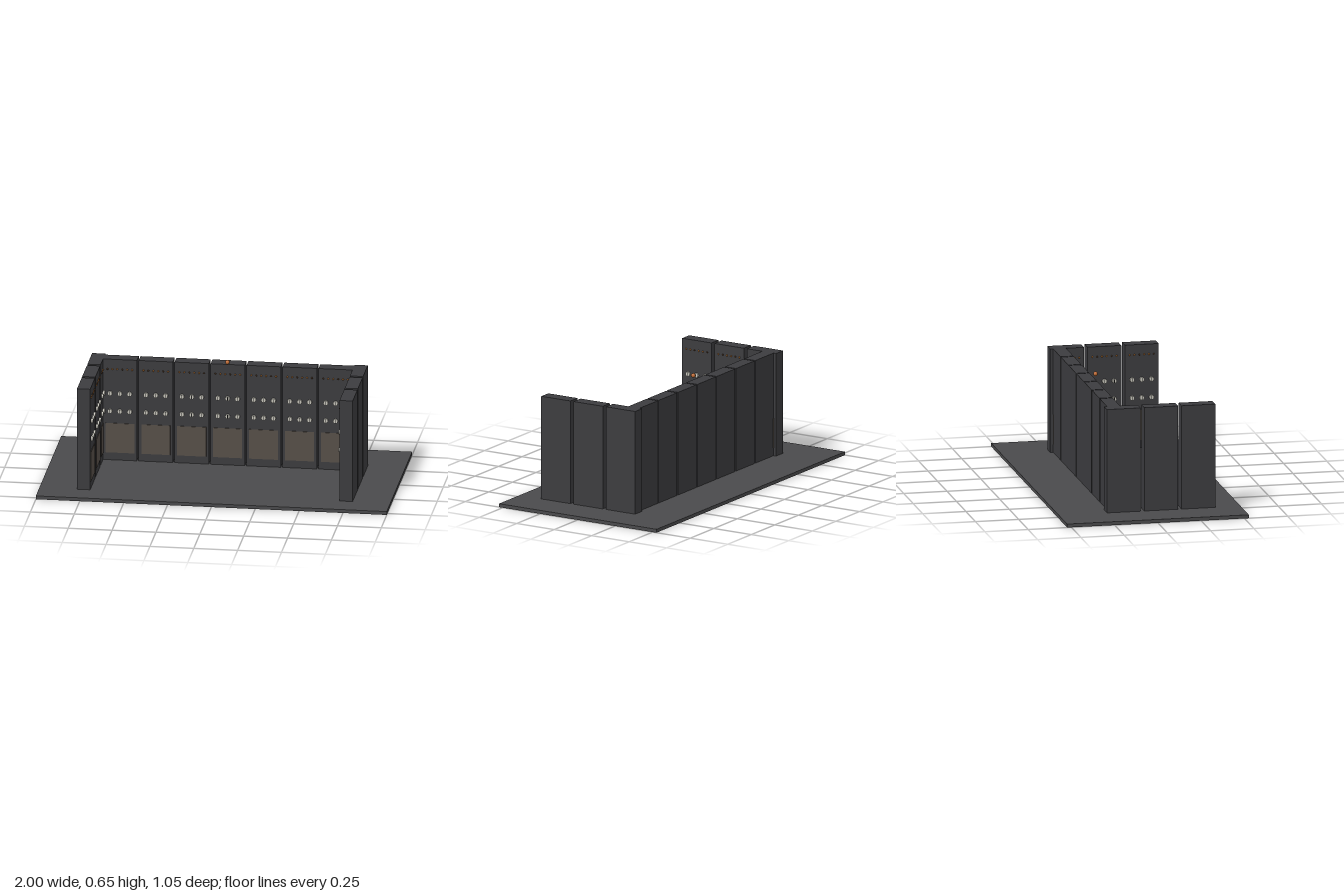
import * as THREE from 'three';

const paint = (color) => new THREE.MeshStandardMaterial({ color });
const W = 0.195, D = 0.075, TOP = 0.62, FLOOR = 0.02;

const mats = {
  floor: paint(0x4a4a4c), cabinet: paint(0x3c3c3f), panel: paint(0x575049),
  dial: paint(0xc8c6bc), needle: paint(0x222222),
  amber: paint(0xb87028), unlit: paint(0x4a3018), beacon: paint(0xc06a30),
};

const geos = {
  body: new THREE.BoxGeometry(W, TOP - FLOOR + 0.01, D),
  panel: new THREE.BoxGeometry(0.165, 0.175, 0.004),
  dial: new THREE.CylinderGeometry(0.0135, 0.0135, 0.012, 16).rotateX(Math.PI / 2),
  needle: new THREE.BoxGeometry(0.003, 0.02, 0.002),
  lamp: new THREE.SphereGeometry(0.005, 8, 6),
};

function add(parent, name, geo, mat, x, y, z) {
  const m = new THREE.Mesh(geo, mat);
  m.name = name;
  m.position.set(x, y, z);
  parent.add(m);
  return m;
}

// One instrument cabinet, its face towards +z
function cabinet(name, seed) {
  const g = new THREE.Group();
  g.name = name;
  const face = D / 2;
  add(g, 'cabinetBody', geos.body, mats.cabinet, 0, (TOP + FLOOR - 0.01) / 2, 0);
  add(g, 'lowerPanel', geos.panel, mats.panel, 0, 0.152, face + 0.001);
  // Two rows of three dials
  for (const y of [0.312, 0.418]) {
    for (let i = -1; i <= 1; i++) {
      add(g, 'dial', geos.dial, mats.dial, i * 0.056, y, face + 0.005);
      add(g, 'needle', geos.needle, mats.needle, i * 0.056, y, face + 0.0115);
    }
  }
  // Row of indicator lamps, some of them lit
  for (let i = 0; i < 6; i++) {
    const lit = (i * 2 + seed) % 3 !== 0;
    add(g, 'indicatorLamp', geos.lamp, lit ? mats.amber : mats.unlit, (i - 2.5) * 0.028, 0.562, face + 0.002);
  }
  return g;
}

export function createModel() {
  const model = new THREE.Group();
  model.name = 'controlRoom';
  add(model, 'floorSlab', new THREE.BoxGeometry(2, FLOOR, 1.05), mats.floor, 0, FLOOR / 2, 0);

  // Back wall of seven cabinets
  for (let i = -3; i <= 3; i++) {
    const c = cabinet('backCabinet', i + 3);
    c.position.set(i * 0.205, 0, -0.193);
    model.add(c);
  }

  // Three cabinets on each side, facing inwards
  for (const side of [-1, 1]) {
    for (let i = 0; i < 3; i++) {
      const c = cabinet(side > 0 ? 'leftCabinet' : 'rightCabinet', i);
      c.position.set(side * 0.748, 0, -0.15 + i * 0.2155);
      c.rotation.y = -side * Math.PI / 2;
      model.add(c);
    }
  }

  // Beacon above the middle cabinet
  add(model, 'beacon', new THREE.SphereGeometry(0.0125, 12, 8), mats.beacon, 0, 0.638, -0.142);
  return model;
}
